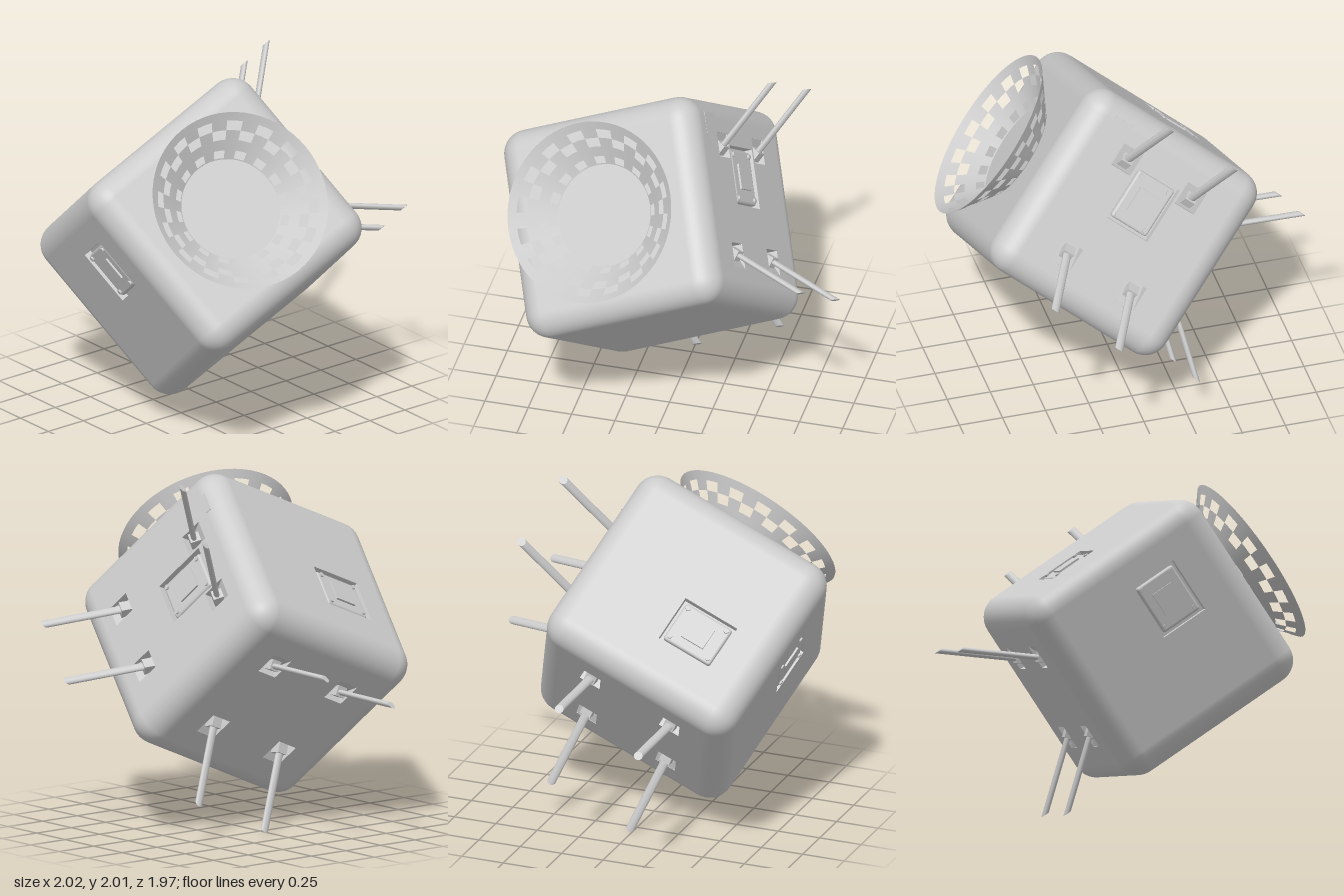
import * as THREE from 'three';
import { RoundedBoxGeometry } from 'three/addons/geometries/RoundedBoxGeometry.js';
import { mergeGeometries } from 'three/addons/utils/BufferGeometryUtils.js';

const grey = new THREE.MeshStandardMaterial({ color: 0xcccccc });
const thin = new THREE.MeshStandardMaterial({ color: 0xcccccc, side: THREE.DoubleSide });
const H = { x: 0.592, y: 0.592, z: 0.612 }; // half sizes of the body
const R = 0.135;                            // edge rounding

function add(parent, name, geometry, x = 0, y = 0, z = 0, material = grey) {
  const mesh = new THREE.Mesh(geometry, material);
  mesh.name = name;
  mesh.position.set(x, y, z);
  parent.add(mesh);
  return mesh;
}

// Rounded edges and corners only; the flat faces are added as panels with openings
function roundedEdges() {
  const box = new RoundedBoxGeometry(2 * H.x, 2 * H.y, 2 * H.z, 6, R).toNonIndexed?.() ?? null;
  const p = box.attributes.position, n = box.attributes.normal;
  const pos = [], nor = [];
  const half = [H.x, H.y, H.z];
  for (let i = 0; i < p.count; i += 3) {
    const flat = half.some((h, k) => [0, 1, 2].every(j =>
      Math.abs(Math.abs(p.getComponent(i + j, k)) - h) < 1e-4));
    if (flat) continue;
    for (let j = 0; j < 3; j++) for (let k = 0; k < 3; k++) {
      pos.push(p.getComponent(i + j, k));
      nor.push(n.getComponent(i + j, k));
    }
  }
  const g = new THREE.BufferGeometry();
  g.setAttribute('position', new THREE.Float32BufferAttribute(pos, 3));
  g.setAttribute('normal', new THREE.Float32BufferAttribute(nor, 3));
  return g;
}

function rectangle(path, x, y, w, h) {
  path.moveTo(x - w / 2, y - h / 2);
  path.lineTo(x + w / 2, y - h / 2);
  path.lineTo(x + w / 2, y + h / 2);
  path.lineTo(x - w / 2, y + h / 2);
  path.closePath();
  return path;
}

// Open-topped recess below z = 0
function recess(parent, w, h, depth) {
  const g = new THREE.BoxGeometry(w, h, depth);
  const index = Array.from(g.index.array);
  index.splice(24, 6);
  g.setIndex(index);
  add(parent, 'recess', g, 0, 0, -depth / 2, thin);
}

// Recessed cover with a raised centre and four screws
function coverPlate(parent, w, h) {
  recess(parent, w, h, 0.045);
  add(parent, 'coverPlate', new RoundedBoxGeometry(w - 0.035, h - 0.035, 0.04, 2, 0.015), 0, 0, -0.027);
  add(parent, 'coverCentre', new THREE.BoxGeometry(w * 0.46, h * 0.42, 0.02), 0, 0, -0.006);
  for (const sx of [-1, 1]) for (const sy of [-1, 1]) {
    const screw = add(parent, 'screw', new THREE.CylinderGeometry(0.014, 0.014, 0.015, 12),
      sx * (w / 2 - 0.045), sy * (h / 2 - 0.045), -0.004);
    screw.rotation.x = Math.PI / 2;
  }
}

// Socket with a ramp and a slanted rod leaning toward +y
const SOCKET = { w: 0.13, h: 0.14, depth: 0.07 };
function rodSocket(parent) {
  const { w, h, depth } = SOCKET;
  recess(parent, w, h, depth);
  const profile = new THREE.Shape([
    new THREE.Vector2(-h / 2, -depth), new THREE.Vector2(h / 2, -depth), new THREE.Vector2(h / 2, -0.002)]);
  const ramp = new THREE.ExtrudeGeometry(profile, { depth: w - 0.002, bevelEnabled: false });
  ramp.translate(0, 0, -w / 2 + 0.001);
  ramp.applyMatrix4(new THREE.Matrix4().makeBasis(
    new THREE.Vector3(0, 1, 0), new THREE.Vector3(0, 0, 1), new THREE.Vector3(1, 0, 0)));
  add(parent, 'ramp', ramp);
  const holder = add(parent, 'rodHolder', new THREE.BoxGeometry(0.065, 0.06, 0.06), 0, -0.012, -0.022);
  holder.rotation.x = -0.69;

  // Cylinder sheared outward so its ends stay square to the face's y axis
  const length = 0.33, slope = 1.22;
  const rod = new THREE.CylinderGeometry(0.025, 0.025, length, 16);
  rod.translate(0, length / 2 - 0.045, 0);
  const p = rod.attributes.position;
  for (let i = 0; i < p.count; i++) p.setZ(i, p.getZ(i) + p.getY(i) * slope);
  rod.computeVertexNormals();
  add(parent, 'rod', rod);
}

// Conical bowl pierced by rings of windows
function dishGeometry() {
  const profile = r => new THREE.Vector2(r, (r - 0.285) * 0.855);
  const parts = [];
  const band = (r0, r1, segments, start, length) =>
    parts.push(new THREE.LatheGeometry([profile(r0), profile(r1)], segments, start, length));
  const windows = 16, step = Math.PI * 2 / windows;
  const pierced = (r0, r1, shift) => {
    for (let i = 0; i < windows; i++) band(r0, r1, 2, (i + shift) * step, step / 2);
  };
  const full = (r0, r1) => band(r0, r1, windows * 4, 0, Math.PI * 2);
  full(0.283, 0.293);
  pierced(0.293, 0.33, 0);
  full(0.33, 0.38);
  pierced(0.38, 0.425, 0);
  pierced(0.425, 0.47, 0.5);
  full(0.47, 0.51);
  return mergeGeometries(parts);
}

export function createModel() {
  const model = new THREE.Group();
  model.name = 'roundedCubeWithDish';
  const cube = new THREE.Group();
  cube.name = 'cube';
  cube.position.set(0.06, 1.05, 0.155);
  cube.rotation.set(THREE.MathUtils.degToRad(23.5), 0, THREE.MathUtils.degToRad(40));
  model.add(cube);

  add(cube, 'roundedEdges', roundedEdges());

  const rods = (x, y) => [[x, y], [-x, y], [x, -y], [-x, -y]];
  const q = Math.PI / 2;
  // Each face: its turn, axes for width, height and distance, then its fittings
  const faces = [
    { name: 'frontFace', rot: [0, 0, 0], axes: 'xyz', plate: [0.14, 0.165, 0.285, 0.33] },
    { name: 'backFace', rot: [0, 2 * q, 0], axes: 'xyz', plate: [0, 0.15, 0.28, 0.34], rods: rods(0.22, 0.315) },
    { name: 'upperFace', rot: [-q, 0, 0], axes: 'xzy', plate: [-0.15, -0.16, 0.285, 0.34] },
    { name: 'lowerFace', rot: [q, 0, 0], axes: 'xzy' },
    { name: 'dishFace', rot: [0, q, 0], axes: 'zyx' },
    { name: 'undersideFace', rot: [0, -q, 0], axes: 'zyx', rods: rods(0.26, 0.265) },
  ];

  const byName = {};
  for (const f of faces) {
    const [w, h, d] = [...f.axes].map(k => H[k]);
    const face = new THREE.Group();
    face.name = f.name;
    face.rotation.set(...f.rot);
    cube.add(face);
    byName[f.name] = face;
    const shape = rectangle(new THREE.Shape(), 0, 0, 2 * (w - R), 2 * (h - R));
    const fitting = (name, x, y) => {
      const g = new THREE.Group();
      g.name = name;
      g.position.set(x, y, d);
      face.add(g);
      return g;
    };
    if (f.plate) {
      const [x, y, pw, ph] = f.plate;
      shape.holes.push(rectangle(new THREE.Path(), x, y, pw, ph));
      coverPlate(fitting('cover', x, y), pw, ph);
    }
    for (const [x, y] of f.rods ?? []) {
      shape.holes.push(rectangle(new THREE.Path(), x, y, SOCKET.w, SOCKET.h));
      const socket = fitting('rodSocket', x, y);
      if (y < 0) socket.rotation.z = Math.PI;
      rodSocket(socket);
    }
    add(face, 'panel', new THREE.ShapeGeometry(shape), 0, 0, d);
  }

  // Small hatch near the back corner
  add(byName.backFace, 'hatch', new THREE.BoxGeometry(0.12, 0.13, 0.03), -0.35, 0.425, H.z - 0.014);

  // Dish
  const dish = add(byName.dishFace, 'dish', dishGeometry(), 0, 0, H.x - 0.002, thin);
  dish.rotation.x = q;

  return model;
}
